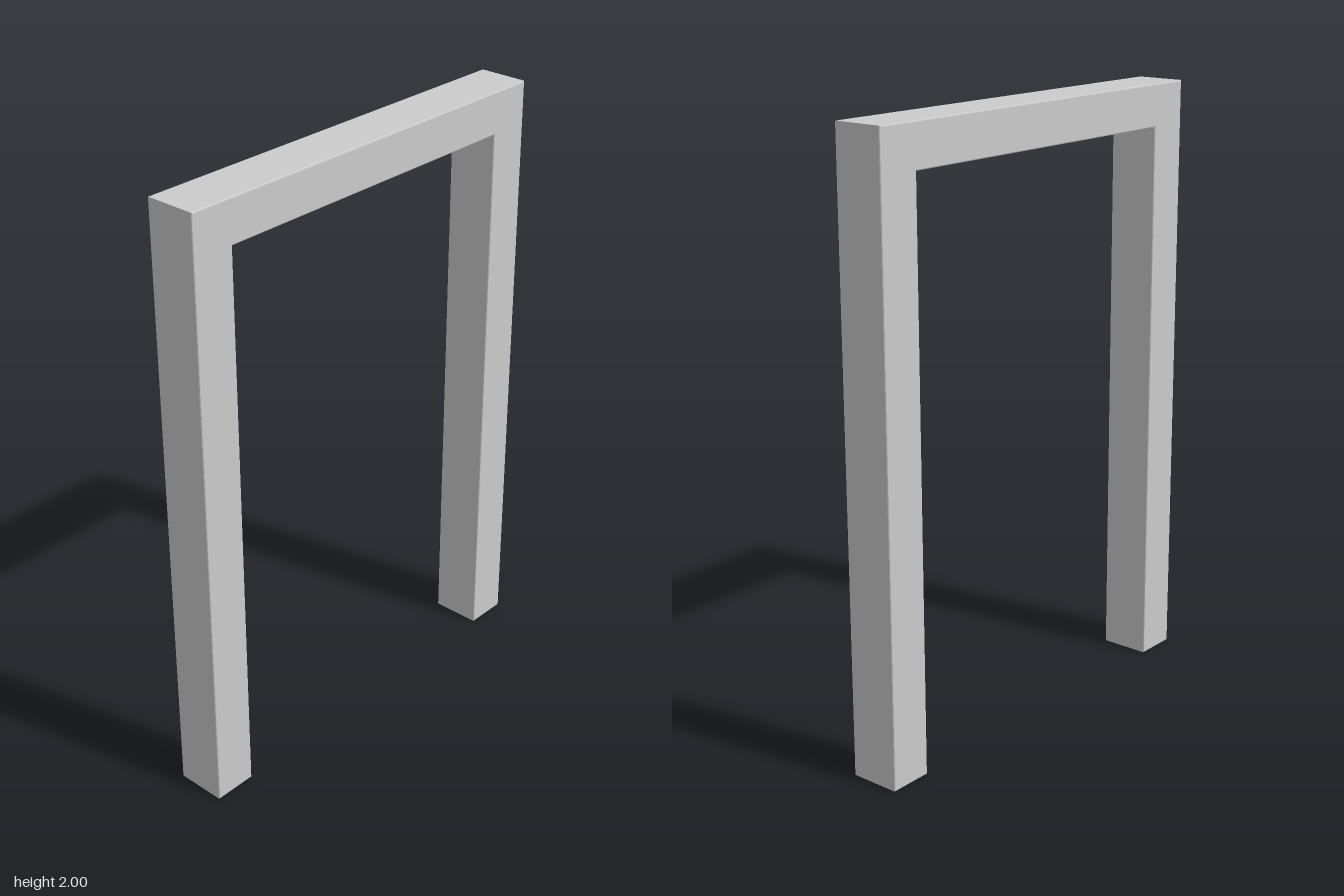
import * as THREE from 'three';

export function createModel() {
  const group = new THREE.Group();
  const outer = 0.716, inner = 0.572, height = 2, lintel = 1.86;
  const depth = 0.17, bevel = 0.004;

  // Door frame outline: two posts joined by a head beam
  const outline = new THREE.Shape([
    [-outer, 0], [-inner, 0], [-inner, lintel], [inner, lintel],
    [inner, 0], [outer, 0], [outer, height], [-outer, height],
  ].map(([x, y]) => new THREE.Vector2(x, y)));

  // Extruded to the wall depth with finely eased edges
  const geometry = new THREE.ExtrudeGeometry(outline, {
    depth: depth - 2 * bevel,
    bevelEnabled: true,
    bevelThickness: bevel,
    bevelSize: bevel,
    bevelOffset: -bevel,
    bevelSegments: 2,
  });
  geometry.translate(0, 0, bevel - depth / 2);

  const frame = new THREE.Mesh(geometry, new THREE.MeshStandardMaterial({ color: 0xcccccc }));
  frame.name = 'doorFrame';
  group.add(frame);
  return group;
}
